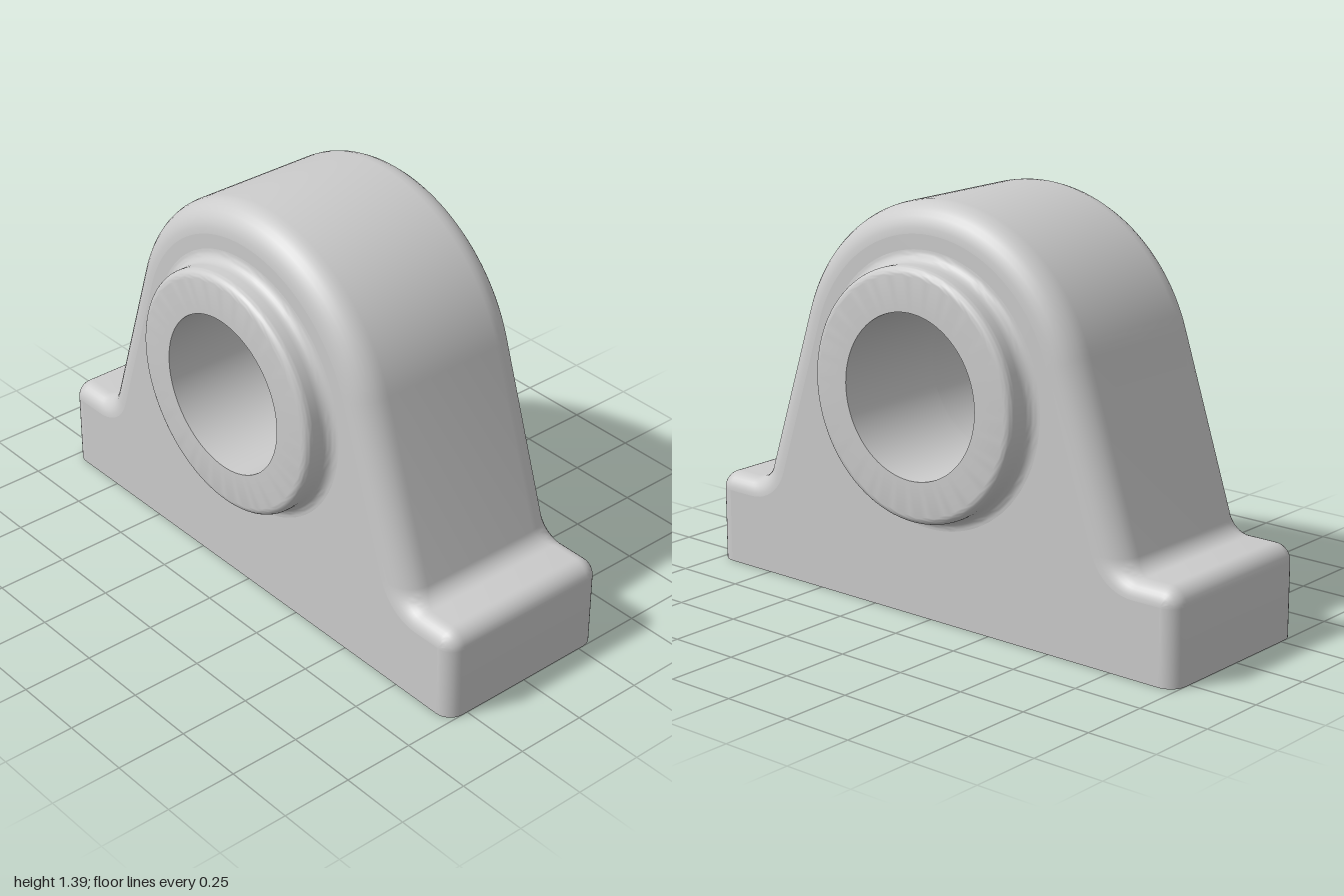
import * as THREE from 'three';
import { toCreasedNormals } from 'three/addons/utils/BufferGeometryUtils.js';

const HALF = 0.33;              // half thickness of the body
const BORE_Y = 0.78, BORE_R = 0.278;
const ARCH_R = 0.615, ARCH_EDGE = 0.1;   // arch radius and its edge rounding
const BASE_H = 0.32, BASE_EDGE = 0.06;   // foot height and its edge rounding
const FILLET = 0.065;           // fillet between foot and flank
const TILT = Math.asin(0.312);  // flank slope
const SEG = 96;

// Points on an arc, both ends included
function arc(cx, cy, r, a0, a1, n) {
  return Array.from({ length: n + 1 }, (_, i) => {
    const a = a0 + (a1 - a0) * i / n;
    return [cx + r * Math.cos(a), cy + r * Math.sin(a)];
  });
}

// Body section at edge-rounding angle t (0 = full outline, PI/2 = front face)
function section(t) {
  const inA = ARCH_EDGE * (1 - Math.cos(t)), inB = BASE_EDGE * (1 - Math.cos(t));
  const zA = HALF - ARCH_EDGE * (1 - Math.sin(t));
  const zB = HALF - BASE_EDGE * (1 - Math.sin(t));
  const half = [];
  const add = (p, z) => half.push(new THREE.Vector3(p[0], p[1], z));

  // foot side and rounded foot corner
  add([1 - inB, 0], zB);
  const corner = BASE_EDGE + 0.001;
  arc(1 - corner, BASE_H - corner, corner - inB, 0, Math.PI / 2, 8).forEach((p) => add(p, zB));

  // concave fillet up to the flank
  const f = FILLET + inA;
  const qy = BASE_H - inB + f;
  const qx = (ARCH_R - inA + f - Math.sin(TILT) * (qy - BORE_Y)) / Math.cos(TILT);
  arc(qx, qy, f, -Math.PI / 2, TILT - Math.PI, 10)
    .forEach((p, i) => add(p, zB + (zA - zB) * i / 10));

  // quarter of the arch, up to the crown
  arc(0, BORE_Y, ARCH_R - inA, TILT, Math.PI / 2, 32).forEach((p) => add(p, zA));

  const mirrored = half.slice(0, -1).reverse().map((p) => new THREE.Vector3(-p.x, p.y, p.z));
  return [...half, ...mirrored];
}

// Skin running from the front face edge round to the back face edge
function bodySkin() {
  const STEPS = 8;
  const front = Array.from({ length: STEPS + 1 }, (_, j) => section(Math.PI / 2 * (1 - j / STEPS)));
  const back = front.map((ring) => ring.map((p) => new THREE.Vector3(p.x, p.y, -p.z))).reverse();
  const rings = [...front, ...back];
  const n = rings[0].length;
  const positions = rings.flat().flatMap((p) => [p.x, p.y, p.z]);
  const index = [];
  for (let j = 0; j < rings.length - 1; j++) {
    for (let i = 0; i < n; i++) {
      const k = (i + 1) % n;
      const a = j * n + i, b = j * n + k, c = a + n, d = b + n;
      index.push(a, c, b, b, c, d);
    }
  }
  const geometry = new THREE.BufferGeometry();
  geometry.setAttribute('position', new THREE.Float32BufferAttribute(positions, 3));
  geometry.setIndex(index);
  return toCreasedNormals(geometry, 0.6);
}

// Flat face with an opening where the boss grows out
function faceGeometry() {
  const shape = new THREE.Shape(section(Math.PI / 2).map((p) => new THREE.Vector2(p.x, p.y)));
  const hole = new THREE.Path();
  hole.absarc(0, BORE_Y, 0.46, 0, Math.PI * 2, true);
  shape.holes.push(hole);
  return new THREE.ShapeGeometry(shape, SEG / 2).translate(0, 0, HALF);
}

// Boss ring with root fillet, rounded rim and half of the bore
function bossGeometry() {
  const R = 0.425, END = 0.427, root = 0.04, rim = 0.03;
  const profile = [
    ...arc(R + root, HALF + root, root, -Math.PI / 2, -Math.PI, 8),
    ...arc(R - rim, END - rim, rim, 0, Math.PI / 2, 8),
    [BORE_R, END], [BORE_R, 0],
  ].map(([x, y]) => new THREE.Vector2(x, y));
  const geometry = new THREE.LatheGeometry(profile, SEG);
  geometry.deleteAttribute('normal');
  geometry.deleteAttribute('uv');
  return toCreasedNormals(geometry, 0.6).rotateX(Math.PI / 2).translate(0, BORE_Y, 0);
}

export function createModel() {
  const model = new THREE.Group();
  model.name = 'bearingBlock';
  const material = new THREE.MeshStandardMaterial({ color: 0xcccccc });
  const add = (name, geometry, turn = 0) => {
    const mesh = new THREE.Mesh(geometry, material);
    mesh.name = name;
    mesh.rotation.y = turn;
    model.add(mesh);
  };

  add('body', bodySkin());
  const face = faceGeometry(), boss = bossGeometry();
  [['front', 0], ['back', Math.PI]].forEach(([side, turn]) => {
    add(side + 'Face', face, turn);
    add(side + 'Boss', boss, turn);
  });
  return model;
}
